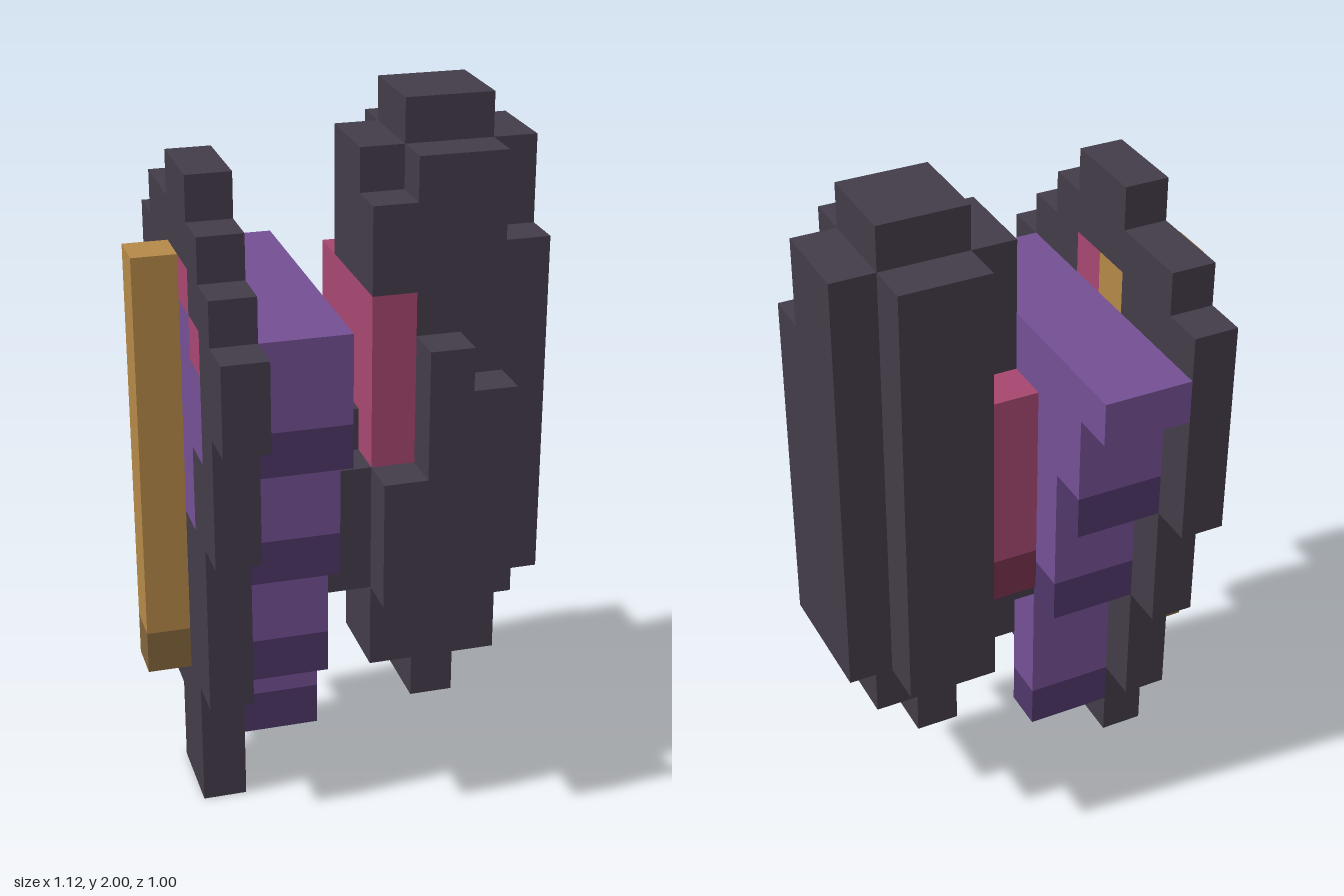
import * as THREE from 'three';

const CELL = 0.125;

const flat = (name, color) => {
  const m = new THREE.MeshStandardMaterial({ color });
  m.name = name;
  return m;
};

export function createModel() {
  const charcoal = flat('charcoal', 0x433c49);
  const purple = flat('purple', 0x745094);
  const darkPurple = flat('dark purple', 0x4f3768);
  const gold = flat('gold', 0xb58848);
  const darkGold = flat('dark gold', 0x82653c);
  const red = flat('crimson', 0xa64670);
  const darkRed = flat('dark crimson', 0x75324e);

  const model = new THREE.Group();
  model.name = 'blockModel';
  const part = (name) => {
    const g = new THREE.Group();
    g.name = name;
    model.add(g);
    return g;
  };

  // Box between cell coordinates; x runs 0-9, y 0-16, z 0-8 (back to front)
  const block = (group, name, mat, [x0, x1], [y0, y1], [z0, z1]) => {
    const geo = new THREE.BoxGeometry((x1 - x0) * CELL, (y1 - y0) * CELL, (z1 - z0) * CELL);
    const mesh = new THREE.Mesh(geo, mat);
    mesh.name = name;
    mesh.position.set(((x0 + x1) / 2 - 4.5) * CELL, ((y0 + y1) / 2) * CELL, ((z0 + z1) / 2 - 4) * CELL);
    group.add(mesh);
  };

  // Side plate: columns from back to front, each a stack of [material, bottom, top]
  const plate = part('sidePlate');
  const columns = [
    [[charcoal, 8, 13]],
    [[charcoal, 5, 14]],
    [[charcoal, 2, 7], [purple, 7, 11], [red, 11, 12], [charcoal, 12, 14]],
    [[charcoal, 0, 3], [darkGold, 3, 4], [gold, 4, 13], [charcoal, 13, 15]],
    [[charcoal, 0, 7], [purple, 7, 12], [red, 12, 13], [charcoal, 13, 15]],
    [[charcoal, 3, 9], [purple, 9, 11], [red, 11, 12], [charcoal, 12, 14]],
    [[charcoal, 7, 13]],
    [[charcoal, 10, 12]],
  ];
  columns.forEach((stack, z) => stack.forEach(([mat, y0, y1]) =>
    block(plate, 'plateColumn', mat, [1, 2], [y0, y1], [z, z + 1])));

  // Gold bar standing out from the plate
  const bar = part('goldBar');
  block(bar, 'barBody', gold, [0, 1], [4, 13], [3, 4]);
  block(bar, 'barFoot', darkGold, [0, 1], [3, 4], [3, 4]);

  // Stepped purple core, each column ending in a dark cap
  const core = part('steppedCore');
  [11, 8, 5, 1, 3, 6, 9].forEach((bottom, z) => {
    const cap = z === 0 ? 0 : 1;
    block(core, 'coreColumn', purple, [2, 4], [bottom + cap, 12], [z, z + 1]);
    if (cap) block(core, 'coreCap', darkPurple, [2, 4], [bottom, bottom + 1], [z, z + 1]);
  });

  // Bridge between core and arm
  const bridge = part('bridge');
  block(bridge, 'bridgeBack', charcoal, [4, 5], [5, 9], [3, 4]);
  block(bridge, 'bridgeFront', charcoal, [4, 5], [5, 8], [4, 5]);

  // Arm
  const arm = part('arm');
  block(arm, 'armCore', charcoal, [6, 8], [5, 16], [2, 4]);
  block(arm, 'armFront', charcoal, [6, 8], [5, 15], [4, 5]);
  block(arm, 'armBack', charcoal, [6, 8], [5, 15], [1, 2]);
  block(arm, 'outerBack', charcoal, [8, 9], [5, 15], [2, 4]);
  block(arm, 'outerFront', charcoal, [8, 9], [5, 13], [4, 5]);
  block(arm, 'innerBack', charcoal, [5, 6], [12, 15], [2, 4]);
  block(arm, 'innerFront', charcoal, [5, 6], [12, 14], [4, 5]);
  block(arm, 'innerLower', charcoal, [5, 6], [5, 7], [2, 5]);
  block(arm, 'lowerSlab', charcoal, [5, 8], [3, 5], [3, 5]);
  block(arm, 'bottomNub', charcoal, [6, 7], [2, 3], [3, 5]);
  block(arm, 'rearNub', charcoal, [6, 7], [4, 5], [2, 3]);

  // Stepped fingers on the front of the arm
  [8, 11, 10].forEach((top, i) =>
    block(arm, 'finger', charcoal, [5 + i, 6 + i], [5, top], [5, 6]));

  // Crimson band along the inner side of the arm
  const band = part('crimsonBand');
  block(band, 'bandBody', red, [5, 6], [8, 12], [1, 5]);
  block(band, 'bandTrim', darkRed, [5, 6], [7, 8], [1, 5]);

  return model;
}
